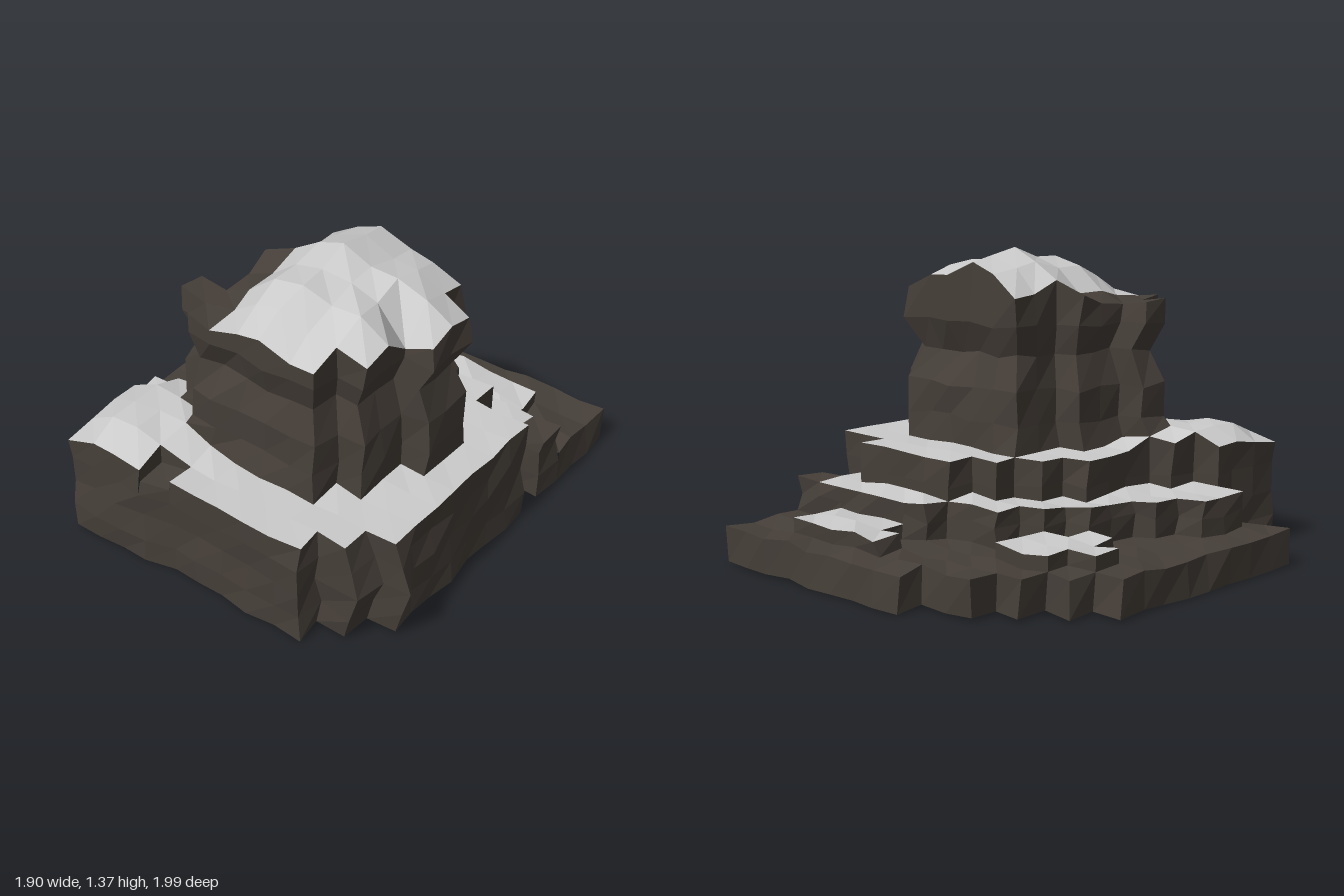
import * as THREE from 'three';

// Plan of the outcrop, back row first. Letters are tiers (a low ledge, A raised ledge,
// B middle terrace, C upper terrace, D front ledge, T tower); lowercase cells have a bare rock top.
const PLAN = [
  '.....aaaaaaaa',
  '...aaaaAAAAaa',
  '..aaaaaaAAAaa',
  '.aAAaaaBBBBBb',
  'aAAAaBBCCCCB.',
  'aaAaBBCCCCCCC',
  'aaaBBCTTTTTCC',
  'aaaBCCTTTTTTC',
  'aaBBCtTTTTTTC',
  'aBBBCtTTTTTCC',
  'aBBCttTTTTTCC',
  'aaCCCtTTTTCCC',
  '..CCCCCCCCCC.',
  '..CCCdCCCCC..',
];
const NAMES = {
  a: 'lowLedge', A: 'raisedLedge', B: 'middleTerrace', C: 'upperTerrace', D: 'frontLedge', T: 'tower',
};
const HEIGHT = { '.': 0.02, a: 0.18, A: 0.245, B: 0.34, D: 0.47, C: 0.51, T: 1.15 };
const LEVELS = [0.14, 0.27, 0.39, 0.51, 0.63, 0.78, 0.93, 1.06];

// Tower skyline along x (from column 4) and along z (from row 6)
const SKY_X = [1.13, 1.19, 1.24, 1.34, 1.38, 1.33, 1.32, 1.26, 1.2];
const SKY_Z = [1.32, 1.34, 1.38, 1.34, 1.33, 1.26, 1.21];

const cell = (i, j) => PLAN[j]?.[i] ?? '.';
const tierOf = (c) => (c === 'a' || c === '.' ? c : c.toUpperCase());

// Repeatable noise in -1..1
function noise(a, b, c) {
  const s = Math.sin(a * 127.1 + b * 311.7 + c * 74.7) * 43758.5453;
  return 2 * (s - Math.floor(s)) - 1;
}

// Swell and waist of the tower walls
function towerScale(y) {
  if (y < 0.55) return 1;
  if (y < 0.85) return 0.97;
  return y < 1 ? 0.86 : 0.98;
}

// Weathered grid corner at height y
function corner(i, j, y, isTower) {
  let x = -0.945 + 0.139 * i;
  let z = -0.988 + 0.1395 * j;
  if (isTower) {
    const s = towerScale(y);
    x = 0.183 + (x - 0.167) * s;
    z = 0.27 + (z - 0.27) * s;
  }
  const k = Math.round(y * 8);
  x += 0.013 * noise(i, j, k);
  z += 0.013 * noise(j, i, k + 20);
  // front right shoulder stands forward, front left corner bulges sideways
  if (i === 2 && j > 11) x += 0.015;
  if (j === 14) z += i <= 5 ? 0.015 : -0.015;
  if (i >= 12 && j >= 12) x += 0.08 * Math.max(0, 1 - Math.abs(y - 0.27) / 0.25);
  return [x, y, z];
}

// Top surface of a tier at a grid corner
function topPoint(tier, i, j) {
  let y = HEIGHT[tier];
  if (tier === 'T') {
    y = Math.max(y, SKY_X[i - 4] + SKY_Z[j - 6] - 1.38) + 0.015 * noise(i, j, 3);
    // notch in the left rim
    if (i === 11 && j === 9) y -= 0.12;
  } else if (tier === 'C') {
    // broad mound on the front right shoulder
    const mound = 2 * (1 - Math.hypot(i - 3.7, j - 11.8) / 2.6);
    y += 0.075 * THREE.MathUtils.clamp(mound, 0, 1) + 0.006 * noise(i, j, 5);
    if (i === 2) y -= 0.03;
  } else {
    y += (tier === '.' ? 0.008 : 0.014) * noise(i, j, 7);
  }
  return corner(i, j, y, tier === 'T');
}

function quad(out, a, b, c, d) {
  out.push(...a, ...b, ...c, ...a, ...c, ...d);
}

// Vertical run of points from the lower neighbour's top to this tier's top
function wallColumn(tier, low, i, j) {
  const ys = LEVELS.filter((y) => y > HEIGHT[low] + 0.04 && y < HEIGHT[tier] - 0.04);
  const middle = ys.map((y) => corner(i, j, y + 0.012 * noise(i, j, y * 50), tier === 'T'));
  return [topPoint(low, i, j), ...middle, topPoint(tier, i, j)];
}

function buildMesh(positions, material, name) {
  const geometry = new THREE.BufferGeometry();
  geometry.setAttribute('position', new THREE.Float32BufferAttribute(positions, 3));
  geometry.computeVertexNormals();
  const mesh = new THREE.Mesh(geometry, material);
  mesh.name = name;
  return mesh;
}

// Neighbour direction and the two corners of the shared edge, left to right from outside
const SIDES = [
  { d: [0, 1], p: [0, 1], q: [1, 1] },
  { d: [0, -1], p: [1, 0], q: [0, 0] },
  { d: [1, 0], p: [1, 1], q: [1, 0] },
  { d: [-1, 0], p: [0, 0], q: [0, 1] },
];

export function createModel() {
  const group = new THREE.Group();
  group.name = 'rockOutcrop';
  const rock = new THREE.MeshStandardMaterial({ color: 0x463f39, flatShading: true, side: THREE.DoubleSide });
  const cap = new THREE.MeshStandardMaterial({ color: 0xcccccc, flatShading: true, side: THREE.DoubleSide });

  for (const [tier, name] of Object.entries(NAMES)) {
    const rockFaces = [];
    const capFaces = [];
    PLAN.forEach((row, j) => [...row].forEach((c, i) => {
      if (tierOf(c) !== tier) return;

      // Top of the cell
      const bare = c === c.toLowerCase();
      quad(bare ? rockFaces : capFaces,
        topPoint(tier, i, j), topPoint(tier, i, j + 1),
        topPoint(tier, i + 1, j + 1), topPoint(tier, i + 1, j));

      // Cliffs down to every lower neighbour
      for (const { d, p, q } of SIDES) {
        const low = tierOf(cell(i + d[0], j + d[1]));
        if (HEIGHT[low] >= HEIGHT[tier]) continue;
        const left = wallColumn(tier, low, i + p[0], j + p[1]);
        const right = wallColumn(tier, low, i + q[0], j + q[1]);
        for (let k = 0; k + 1 < left.length; k++) {
          quad(rockFaces, left[k], right[k], right[k + 1], left[k + 1]);
        }
      }
    }));
    group.add(buildMesh(rockFaces, rock, name + 'Rock'));
    if (capFaces.length) group.add(buildMesh(capFaces, cap, name + 'Cap'));
  }
  return group;
}
